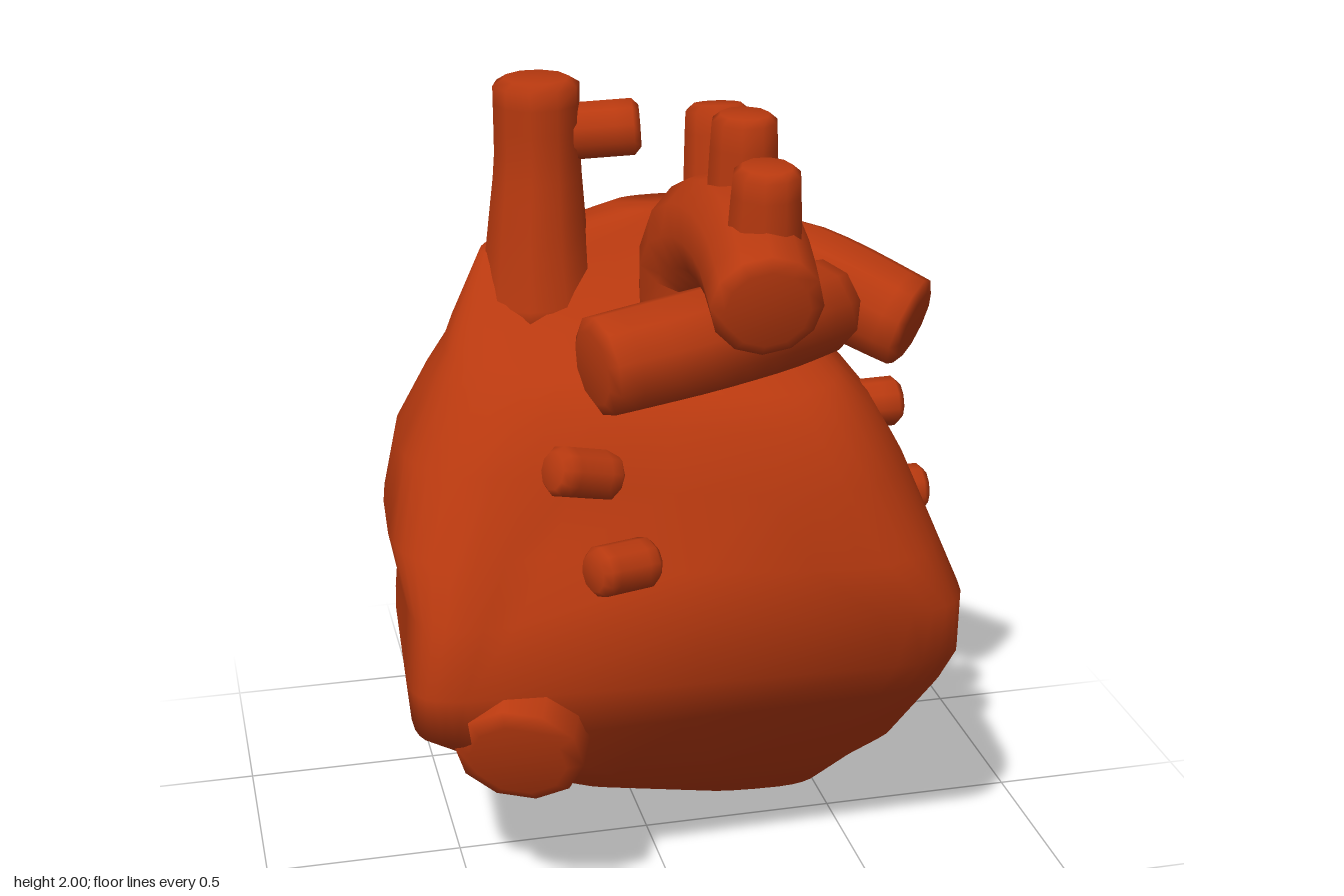
import * as THREE from 'three';

const lerp = THREE.MathUtils.lerp;

// Smooth closed skin over rings of points, counter-clockwise around the path
function loft(rings) {
  const n = rings[0].length, pts = [], idx = [];
  rings.forEach(r => r.forEach(p => pts.push(p)));
  rings.forEach((r, i) => {
    if (i === rings.length - 1) return;
    for (let j = 0; j < n; j++) {
      const a = i * n + j, b = i * n + (j + 1) % n;
      idx.push(a, b, b + n, a, b + n, a + n);
    }
  });
  const centre = r => r.reduce((s, p) => s.add(p), new THREE.Vector3()).divideScalar(n);
  const last = (rings.length - 1) * n, c0 = pts.length;
  pts.push(centre(rings[0]), centre(rings[rings.length - 1]));
  for (let j = 0; j < n; j++) {
    const k = (j + 1) % n;
    idx.push(c0, k, j, c0 + 1, last + j, last + k);
  }
  const g = new THREE.BufferGeometry().setFromPoints(pts);
  g.setIndex(idx);
  g.computeVertexNormals();
  return g;
}

// Capped vessel along a path, radius running through the given list
function vessel(path, radii, sides = 10) {
  const curve = new THREE.CatmullRomCurve3(path.map(p => new THREE.Vector3(...p)));
  const steps = path.length > 2 ? 10 : 4;
  const frames = curve.computeFrenetFrames(steps);
  const rings = [];
  const ring = (i, scale) => {
    const t = i / steps, f = t * (radii.length - 1), k = Math.min(Math.floor(f), radii.length - 2);
    const r = lerp(radii[k], radii[k + 1], f - k) * scale, c = curve.getPointAt(t);
    rings.push(Array.from({ length: sides }, (_, j) => {
      const a = j / sides * Math.PI * 2;
      return c.clone().addScaledVector(frames.normals[i], r * Math.cos(a))
        .addScaledVector(frames.binormals[i], r * Math.sin(a));
    }));
  };
  ring(0, 0.75);
  for (let i = 0; i <= steps; i++) ring(i, 1);
  ring(steps, 0.75);
  // Pull the outermost full rings in a little for a soft bevel
  const bevel = (i, at, dir) => rings[i].forEach(p => p.addScaledVector(frames.tangents[at], dir * 0.016));
  bevel(1, 0, 1);
  bevel(rings.length - 2, steps, -1);
  return loft(rings);
}

// Heart body sections: y, right x, left x, back z (right, left), front z (right, left), front squareness
const SECTIONS = [
  [0.005, 0.27, 0.39, -0.35, -0.35, -0.26, -0.26, 2.5],
  [0.05, 0.08, 0.54, -0.39, -0.49, -0.06, -0.03, 3],
  [0.20, -0.27, 0.62, -0.48, -0.66, 0.13, 0.13, 4],
  [0.32, -0.43, 0.66, -0.53, -0.73, 0.26, 0.27, 5],
  [0.56, -0.66, 0.69, -0.61, -0.80, 0.46, 0.43, 10],
  [0.68, -0.67, 0.69, -0.61, -0.80, 0.46, 0.53, 11],
  [0.85, -0.66, 0.68, -0.54, -0.77, 0.45, 0.61, 8],
  [0.98, -0.69, 0.64, -0.51, -0.73, 0.38, 0.65, 4.5],
  [1.16, -0.65, 0.57, -0.45, -0.67, 0.28, 0.65, 3.5],
  [1.30, -0.57, 0.49, -0.40, -0.58, 0.20, 0.63, 3.2],
  [1.37, -0.52, 0.42, -0.36, -0.52, 0.12, 0.57, 3],
  [1.42, -0.49, 0.38, -0.34, -0.48, 0.01, 0.15, 3],
  [1.58, -0.41, 0.28, -0.28, -0.35, -0.09, -0.08, 3],
  [1.66, -0.04, 0.17, -0.26, -0.27, -0.13, -0.10, 3],
];

function bodyGeometry() {
  const sides = 40;
  const soft = (v, n) => Math.sign(v) * Math.pow(Math.abs(v), 2 / n);
  return loft(SECTIONS.map(([y, xR, xL, bR, bL, fR, fL, square]) =>
    Array.from({ length: sides }, (_, j) => {
      const a = -j / sides * Math.PI * 2, n = Math.sin(a) > 0 ? square : 2.6;
      const u = (soft(Math.cos(a), n) + 1) / 2, v = (soft(Math.sin(a), n) + 1) / 2;
      // The right side narrows towards the back
      const x = lerp(xR + (xR < -0.2 ? 0.08 * (1 - v) : 0), xL, u);
      // Groove between the right chamber and the front bulge
      const groove = v > 0.6 ? 0.1 * Math.exp(-(((x + 0.33) / 0.13) ** 2) - ((y - 1.0) / 0.22) ** 2) : 0;
      return new THREE.Vector3(x, y, lerp(lerp(bR, bL, u), lerp(fR, fL, u), v) - groove);
    })));
}

export function createModel() {
  const group = new THREE.Group();
  const muscle = new THREE.MeshStandardMaterial({ color: 0xb8390f });
  muscle.name = 'muscle red';
  const add = (name, geometry) => {
    const m = new THREE.Mesh(geometry, muscle);
    m.name = name;
    group.add(m);
  };

  add('heartBody', bodyGeometry());

  // Upper vein with its side stub
  add('upperVein', vessel([[-0.24, 1.40, -0.13], [-0.24, 1.6, -0.135], [-0.235, 1.8, -0.14], [-0.235, 2.0, -0.14]],
    [0.155, 0.125, 0.105, 0.105]));
  add('upperVeinStub', vessel([[-0.22, 1.86, -0.15], [0.01, 1.875, -0.11]], [0.07, 0.07]));

  // Arching main artery and its three branches
  add('aorticArch', vessel([[0.11, 1.665, 0.69], [0.13, 1.715, 0.5], [0.14, 1.71, 0.27], [0.125, 1.62, 0.09], [0.12, 1.42, 0.06]],
    [0.125, 0.13, 0.145, 0.16, 0.15], 12));
  [[0.14, 1.945, 0.555, 0.535], [0.155, 2.0, 0.31, 0.3], [0.155, 1.965, 0.065, 0.1]].forEach(([x, y, zTop, zBase], i) =>
    add('archBranch' + (i + 1), vessel([[x, 1.70, zBase], [x, y, zTop]], [0.09, 0.076])));

  // Lung arteries crossing under the arch
  add('lungArteryRight', vessel([[-0.245, 1.51, 0.54], [0, 1.53, 0.48], [0.2, 1.52, 0.36], [0.39, 1.485, 0.17]],
    [0.115, 0.12, 0.12, 0.115]));
  add('lungArteryLeft', vessel([[0.16, 1.55, -0.17], [0.4, 1.515, 0.02], [0.62, 1.425, 0.19]], [0.115, 0.125, 0.115]));

  // Lower vein opening
  add('lowerVein', vessel([[-0.3, 0.64, 0.15], [-0.42, 0.515, 0.475]], [0.165, 0.155]));

  // Small vessel stubs on the front and left side
  [
    [[-0.16, 1.175, 0.36], [-0.315, 1.225, 0.42]],
    [[-0.1, 1.01, 0.49], [-0.25, 1.02, 0.55]],
    [[0.35, 1.25, 0.24], [0.57, 1.255, 0.24]],
    [[0.45, 1.02, 0.24], [0.645, 1.02, 0.24]],
  ].forEach((path, i) => add('smallStub' + (i + 1), vessel(path, [0.06, 0.06])));

  return group;
}
